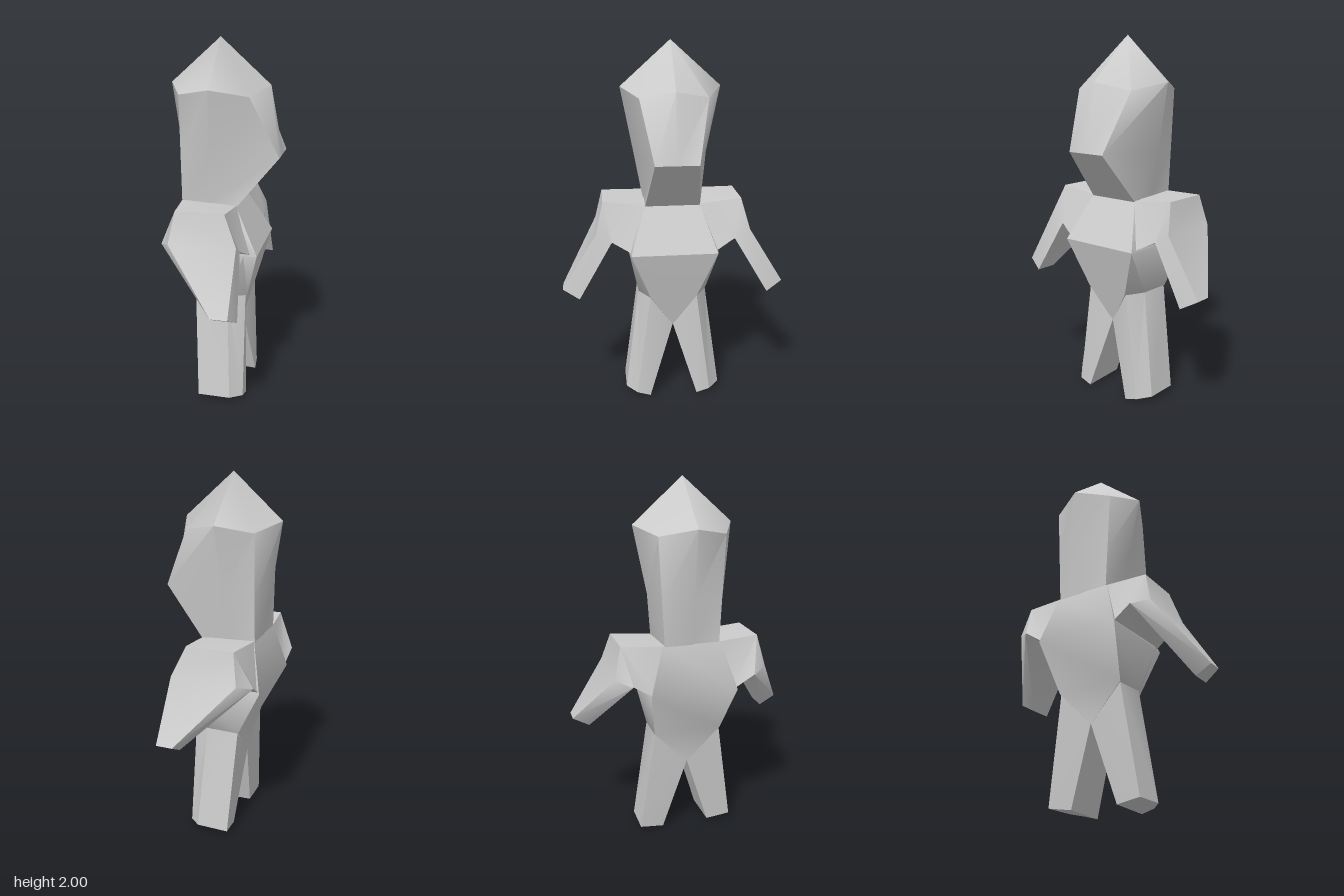
import * as THREE from 'three';
import { toCreasedNormals } from 'three/addons/utils/BufferGeometryUtils.js';

const grey = new THREE.MeshStandardMaterial({ color: 0xcccccc, side: THREE.DoubleSide });

// Skin a stack of equal-length cross-sections and close both ends.
function loft(name, rings) {
  const n = rings[0].length;
  const pts = rings.flat();
  const index = [];
  for (let r = 0; r < rings.length - 1; r++) {
    for (let i = 0; i < n; i++) {
      const a = r * n + i, b = r * n + (i + 1) % n;
      index.push(a, b, b + n, a, b + n, a + n);
    }
  }
  const cap = (ring, start, flip) => {
    const c = [0, 1, 2].map(k => ring.reduce((s, p) => s + p[k], 0) / n);
    pts.push(c);
    for (let i = 0; i < n; i++) {
      const a = start + i, b = start + (i + 1) % n;
      index.push(pts.length - 1, ...(flip ? [b, a] : [a, b]));
    }
  };
  cap(rings[0], 0, true);
  cap(rings.at(-1), (rings.length - 1) * n, false);

  // Turn the faces outward if the enclosed volume comes out negative.
  const v = pts.map(p => new THREE.Vector3(...p));
  let volume = 0;
  for (let i = 0; i < index.length; i += 3) {
    volume += v[index[i]].dot(v[index[i + 1]].clone().cross(v[index[i + 2]]));
  }
  if (volume < 0) index.reverse();

  const geo = new THREE.BufferGeometry();
  geo.setAttribute('position', new THREE.Float32BufferAttribute(pts.flat(), 3));
  geo.setIndex(index);
  const mesh = new THREE.Mesh(toCreasedNormals(geo, 0.75), grey);
  mesh.name = name;
  return mesh;
}

const mirror = rings => rings.map(r => r.map(([x, y, z]) => [x, y, -z]));

// Close a half section (running from back to front on the +z side) into a full one.
const both = half => [
  ...half,
  ...half.filter(p => p[2] > 0).reverse().map(([x, y, z]) => [x, y, -z]),
];

function makeHead() {
  const crown = [[-0.31, 1.76, 0], [-0.22, 1.72, 0.18], [-0.04, 1.76, 0.27], [0.15, 1.72, 0.18], [0.23, 1.76, 0]];
  const neck = [[-0.22, 1.14, 0], [-0.22, 1.14, 0.15], [-0.07, 1.135, 0.15], [0.08, 1.13, 0.15], [0.08, 1.13, 0]];
  // Jaw level: straight taper at the back and sides, chin pushed forward.
  const jaw = crown.map((p, i) => p.map((c, k) => c + (neck[i][k] - c) * 0.58));
  jaw[3] = [0.3, 1.4, 0.115];
  jaw[4] = [0.3, 1.4, 0];
  const tip = crown.map(([, , z]) => [-0.04, 2, z > 0 ? 0.0005 : 0]);
  return loft('head', [neck, jaw, crown, tip].map(both));
}

function makeTorso() {
  return loft('torso', [
    [[-0.22, 1.15, 0.16], [0.04, 1.14, 0.17], [0.08, 1.13, 0.15]],
    [[-0.28, 0.89, 0.24], [0.14, 0.89, 0.245], [0.21, 0.89, 0.235]],
    [[-0.145, 0.62, 0.19], [0.04, 0.62, 0.19], [0.14, 0.62, 0.13]],
    [[-0.13, 0.43, 0.005], [0.03, 0.43, 0.005], [0.09, 0.43, 0.005]],
  ].map(both));
}

// Sections run top-back, top-front, bottom-front, bottom-back.
const armRings = [
  [[-0.22, 1.15, 0.14], [0.08, 1.135, 0.14], [0.18, 0.89, 0.22], [-0.27, 0.89, 0.22]],
  [[-0.19, 1.16, 0.38], [0.07, 1.16, 0.38], [0.14, 0.95, 0.335], [-0.28, 0.965, 0.335]],
  [[-0.22, 0.99, 0.42], [0.14, 1.0, 0.42], [0.142, 0.945, 0.34], [-0.28, 0.96, 0.34]],
  [[0.05, 0.69, 0.61], [0.14, 0.69, 0.61], [0.17, 0.64, 0.52], [0.05, 0.64, 0.52]],
];

// Sections run outer-back, outer-front, front, inner-front, inner-back.
const legRings = [
  [[-0.14, 0.62, 0.185], [0.04, 0.62, 0.19], [0.13, 0.62, 0.13], [0.09, 0.43, 0], [-0.13, 0.43, 0]],
  [[-0.11, 0.03, 0.27], [0.07, 0.03, 0.27], [0.135, 0.02, 0.21], [0.14, 0, 0.135], [-0.1, 0.01, 0.135]],
];

export function createModel() {
  const model = new THREE.Group();
  model.name = 'figure';
  model.add(makeHead(), makeTorso());
  for (const [part, rings] of [['Arm', armRings], ['Leg', legRings]]) {
    model.add(loft('front' + part, rings), loft('back' + part, mirror(rings)));
  }
  return model;
}
